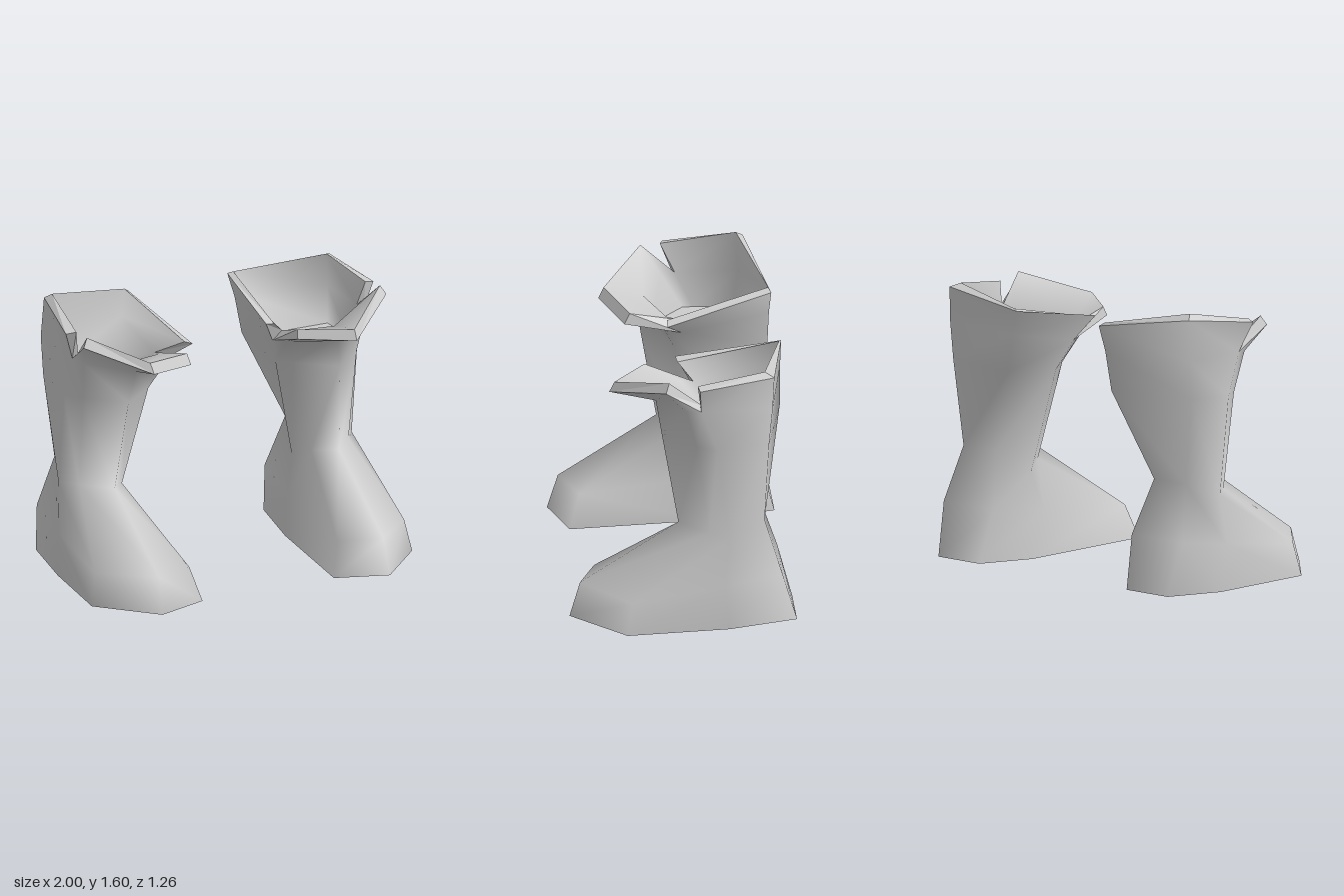
import * as THREE from 'three';
import { mergeVertices } from 'three/addons/utils/BufferGeometryUtils.js';

const grey = new THREE.MeshStandardMaterial({ color: 0xcccccc });
grey.name = 'plain grey';

// Every ring runs: front, outer side, outer mid, back outer, back inner, inner mid, inner side
const SHELL = [
  [[.71, .02, .63], [1, .02, .33], [.92, 0, -.25], [.865, .02, -.63], [.557, .02, -.63], [.5, 0, -.25], [.41, .02, .53]],
  [[.7, .22, .57], [.965, .2, .3], [.935, .27, -.22], [.902, .32, -.545], [.523, .32, -.55], [.48, .27, -.18], [.462, .21, .47]],
  [[.7, .57, .02], [.84, .56, -.14], [.915, .55, -.25], [.84, .63, -.45], [.6, .63, -.45], [.53, .49, -.23], [.59, .54, -.11]],
  [[.66, 1.1, .11], [.855, 1.1, -.07], [.915, 1.1, -.18], [.9, 1.12, -.47], [.392, 1.12, -.575], [.398, 1.08, -.17], [.45, 1.1, -.06]],
  [[.63, 1.29, .14], [.88, 1.33, -.01], [.91, 1.34, -.09], [.905, 1.34, -.49], [.35, 1.34, -.58], [.34, 1.24, -.09], [.375, 1.26, .01]],
];
const LINING = [
  [[.66, 1.15, .05], [.86, 1.15, -.14], [.86, 1.15, -.2], [.85, 1.15, -.42], [.43, 1.15, -.42], [.45, 1.15, -.2], [.45, 1.15, -.14]],
  [[.63, 1.34, .1], [.86, 1.36, -.02], [.87, 1.36, -.1], [.865, 1.36, -.45], [.38, 1.36, -.53], [.4, 1.29, -.09], [.41, 1.31, -.01]],
];
// Cuff edges differ a little between the boots
const RIMS = {
  left: {
    outer: [[.62, 1.35, .4], [.95, 1.48, .11], [.965, 1.49, -.08], [.9, 1.53, -.5], [.31, 1.48, -.59], [.255, 1.38, 0], [.35, 1.34, .2]],
    inner: [[.62, 1.41, .37], [.92, 1.53, .09], [.91, 1.5, -.07], [.86, 1.55, -.45], [.34, 1.49, -.575], [.31, 1.37, -.01], [.36, 1.39, .18]],
  },
  right: {
    outer: [[.62, 1.34, .35], [.94, 1.47, .11], [.975, 1.51, -.04], [.89, 1.57, -.48], [.31, 1.48, -.59], [.205, 1.34, 0], [.33, 1.31, .23]],
    inner: [[.63, 1.4, .32], [.91, 1.52, .09], [.92, 1.52, -.02], [.86, 1.6, -.44], [.34, 1.5, -.575], [.255, 1.36, 0], [.34, 1.37, .2]],
  },
};

// Quads between two rows of points, facing outward when rows go round counterclockwise
function strip(a, b, closed = false) {
  const faces = [];
  for (let i = 0; i < a.length - (closed ? 0 : 1); i++) {
    const j = (i + 1) % a.length;
    faces.push([a[i], a[j], b[j]], [a[i], b[j], b[i]]);
  }
  return faces;
}

// Fills a ring with crosswise bands from the front to the back, facing up
function fill([f, o, m, ho, hi, mi, i]) {
  return [[f, o, i], ...strip([o, m, ho], [i, mi, hi])];
}

const flip = (faces) => faces.map(([a, b, c]) => [a, c, b]);

function makeMesh(name, faces, side, smooth) {
  const sameCorner = (p, q) => p.every((v, i) => v === q[i]);
  const kept = faces.filter(([a, b, c]) => !sameCorner(a, b) && !sameCorner(b, c) && !sameCorner(a, c));
  const ordered = side < 0 ? flip(kept) : kept;
  const positions = ordered.flat().flatMap(([x, y, z]) => [x * side, y, z]);
  let geometry = new THREE.BufferGeometry();
  geometry.setAttribute('position', new THREE.Float32BufferAttribute(positions, 3));
  if (smooth) geometry = mergeVertices(geometry);
  geometry.computeVertexNormals();
  const mesh = new THREE.Mesh(geometry, grey);
  mesh.name = name;
  return mesh;
}

// Cuff walls above a collar ring: a back wall and a flared front flap, parted by two notches
function cuffWalls(collar, rim) {
  const [f, o, m, , , mi, i] = collar;
  return [
    ...strip(collar.slice(2, 6), rim.slice(2, 6)),
    ...strip([mi, i, f, o, m], [mi, rim[6], rim[0], rim[1], m]),
  ];
}

// The edge line of the cuff, dipping into both notches
const edgeLine = (collar, rim) => [rim[0], rim[1], collar[2], ...rim.slice(2, 6), collar[5], rim[6]];

function makeBoot(name, side, rim) {
  const boot = new THREE.Group();
  boot.name = name;
  const collar = SHELL[SHELL.length - 1];
  const shell = SHELL.slice(1).flatMap((ring, i) => strip(SHELL[i], ring, true));
  const lining = [...strip(LINING[0], LINING[1], true), ...cuffWalls(LINING[1], rim.inner)];
  boot.add(
    makeMesh('bootShell', [...shell, ...cuffWalls(collar, rim.outer)], side, true),
    makeMesh('sole', flip(fill(SHELL[0])), side, true),
    makeMesh('lining', flip(lining), side, true),
    makeMesh('innerFloor', fill(LINING[0]), side, false),
    makeMesh('cuffEdge', strip(edgeLine(collar, rim.outer), edgeLine(LINING[1], rim.inner), true), side, false),
  );
  return boot;
}

export function createModel() {
  const model = new THREE.Group();
  model.name = 'pairOfBoots';
  model.add(makeBoot('leftBoot', 1, RIMS.left), makeBoot('rightBoot', -1, RIMS.right));
  return model;
}
